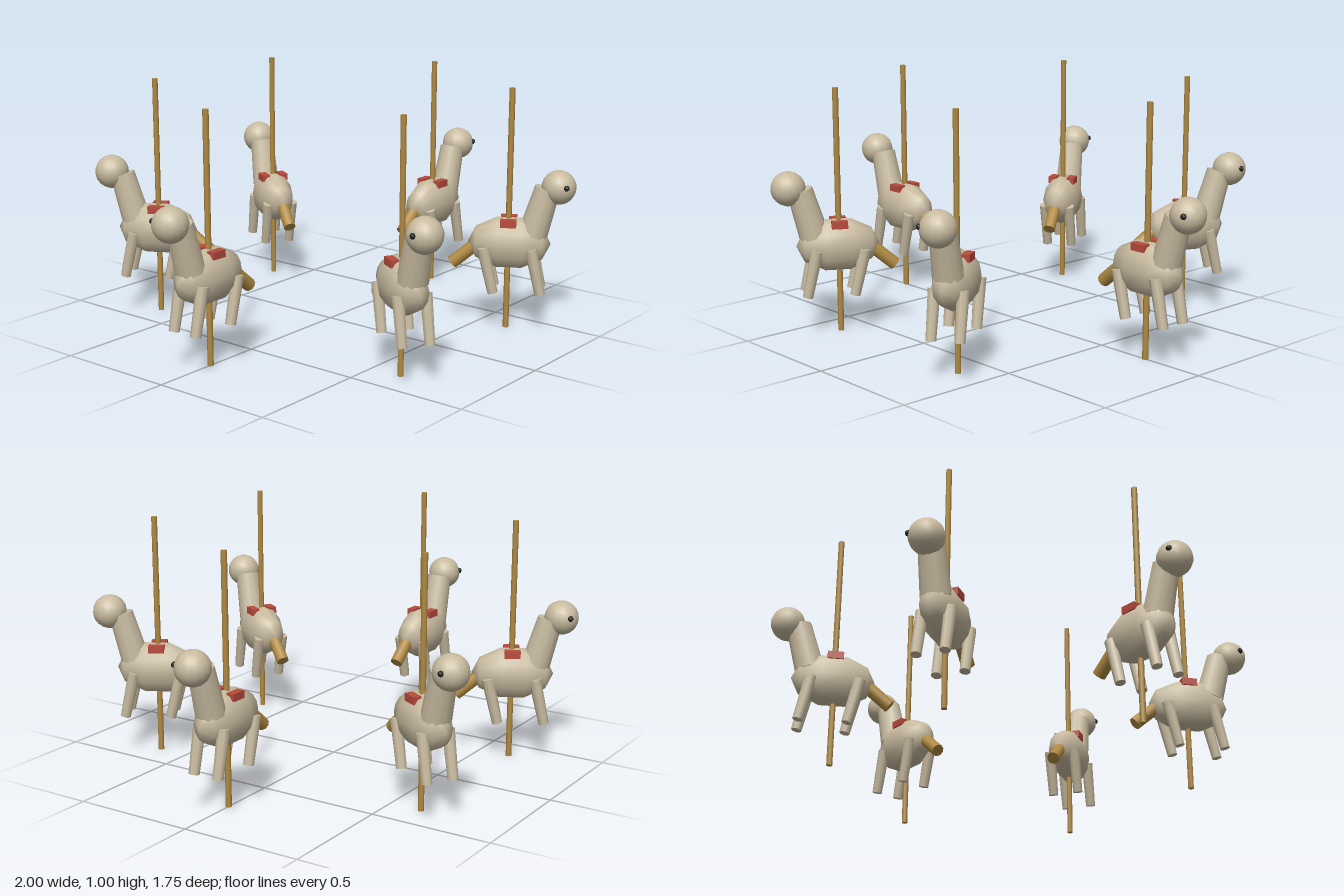
import * as THREE from 'three';

const coat = new THREE.MeshStandardMaterial({ color: 0xc8bba0 });
const gold = new THREE.MeshStandardMaterial({ color: 0xb08a42 });
const red = new THREE.MeshStandardMaterial({ color: 0xb84a3c });
const dark = new THREE.MeshStandardMaterial({ color: 0x222222 });

function add(parent, name, geometry, material, x = 0, y = 0, z = 0) {
  const mesh = new THREE.Mesh(geometry, material);
  mesh.name = name;
  mesh.position.set(x, y, z);
  parent.add(mesh);
  return mesh;
}

// Tapered rod running from point a to point b
function rod(parent, name, material, a, b, ra, rb, sides) {
  const from = new THREE.Vector3(...a), to = new THREE.Vector3(...b);
  const dir = to.clone().sub(from);
  const mesh = add(parent, name, new THREE.CylinderGeometry(rb, ra, dir.length(), sides), material);
  mesh.position.copy(from).add(to).multiplyScalar(0.5);
  mesh.quaternion.setFromUnitVectors(new THREE.Vector3(0, 1, 0), dir.normalize());
  return mesh;
}

// One horse facing +x, with its pole on the local y axis
function createHorse() {
  const horse = new THREE.Group();
  horse.name = 'horse';

  rod(horse, 'pole', gold, [0, 0, 0], [0, 1, 0], 0.012, 0.012, 8);

  // Barrel-shaped body with its axis lengthwise
  const bodyGeometry = new THREE.SphereGeometry(1, 12, 5).rotateZ(Math.PI / 2);
  add(horse, 'body', bodyGeometry, coat, 0.004, 0.362, 0).scale.set(0.168, 0.112, 0.083);

  // Neck, head and eye
  rod(horse, 'neck', coat, [0.098, 0.4, 0], [0.152, 0.592, 0], 0.06, 0.052, 12);
  add(horse, 'head', new THREE.SphereGeometry(0.07, 16, 12), coat, 0.197, 0.6, 0);
  add(horse, 'eye', new THREE.SphereGeometry(0.012, 8, 6), dark, 0.227, 0.61, 0.061);

  // Mirrored legs and saddle pads
  for (const side of [-1, 1]) {
    const z = side * 0.056;
    rod(horse, 'frontLeg', coat, [0.094, 0.35, z], [0.136, 0.162, z], 0.025, 0.021, 8);
    rod(horse, 'rearLeg', coat, [-0.099, 0.35, z], [-0.055, 0.162, z], 0.025, 0.021, 8);
    add(horse, 'saddlePad', new THREE.BoxGeometry(0.065, 0.03, 0.034), red, 0, 0.452, side * 0.042);
  }

  rod(horse, 'tail', gold, [-0.1, 0.375, 0], [-0.227, 0.268, 0], 0.027, 0.027, 10);
  return horse;
}

export function createModel() {
  const model = new THREE.Group();
  model.name = 'carouselHorses';
  // Six horses in a ring, heads outward
  for (let i = 0; i < 6; i++) {
    const angle = (i * Math.PI) / 3;
    const horse = createHorse();
    horse.position.set(0.733 * Math.cos(angle), 0, -0.733 * Math.sin(angle));
    horse.rotation.y = angle;
    model.add(horse);
  }
  return model;
}
